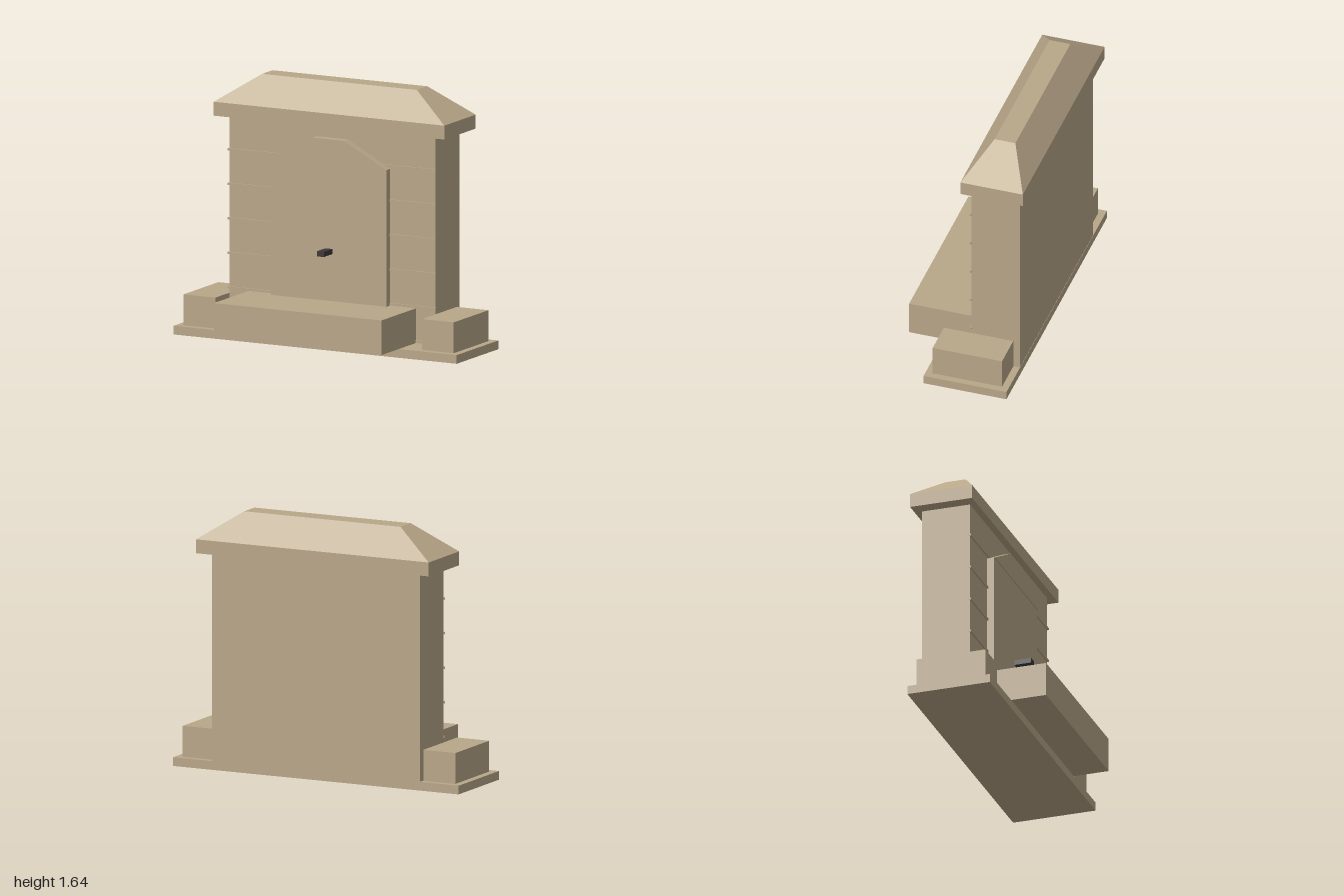
import * as THREE from 'three';

export function createModel() {
  const model = new THREE.Group();
  model.name = 'wallFountain';
  const stone = new THREE.MeshStandardMaterial({ color: 0xb8a688 });
  stone.name = 'sandstone';
  const iron = new THREE.MeshStandardMaterial({ color: 0x3c383a });
  iron.name = 'darkIron';

  function add(name, geometry, material = stone) {
    const mesh = new THREE.Mesh(geometry, material);
    mesh.name = name;
    model.add(mesh);
    return mesh;
  }

  // Box given by its limits on each axis
  function box(name, [x0, x1], [y0, y1], [z0, z1], material) {
    const g = new THREE.BoxGeometry(x1 - x0, y1 - y0, z1 - z0);
    g.translate((x0 + x1) / 2, (y0 + y1) / 2, (z0 + z1) / 2);
    return add(name, g, material);
  }

  // Plinth, wall and water trough
  box('plinth', [-1, 1], [0, 0.055], [-0.362, 0.18]);
  box('wall', [-0.728, 0.728], [0.055, 1.37], [-0.36, -0.045]);
  box('trough', [-0.592, 0.592], [0.056, 0.275], [-0.045, 0.408]);

  // Side blocks
  for (const s of [-1, 1]) {
    const xs = [s * 0.73, s * 0.955].sort((a, b) => a - b);
    box(s > 0 ? 'leftBlock' : 'rightBlock', xs, [0.055, 0.25], [-0.318, 0.135]);
  }

  // Thin courses across the wall front
  for (let i = 0; i < 6; i++) {
    const y = 0.067 + i * 0.2185;
    box('course' + (i + 1), [-0.735, 0.735], [y - 0.007, y + 0.007], [-0.046, -0.035]);
  }

  // Raised front panel and its gable
  box('frontPanel', [-0.408, 0.408], [0.275, 1.14], [-0.045, 0.002]);
  const gable = new THREE.Shape([
    new THREE.Vector2(-0.408, 1.14), new THREE.Vector2(0.408, 1.14),
    new THREE.Vector2(0.11, 1.298), new THREE.Vector2(-0.11, 1.298),
  ]);
  const gableGeometry = new THREE.ExtrudeGeometry(gable, { depth: 0.053, bevelEnabled: false });
  gableGeometry.translate(0, 0, -0.045);
  add('panelGable', gableGeometry);

  // Spout
  box('spout', [-0.025, 0.025], [0.573, 0.605], [0, 0.113], iron);

  // Cap slab and hipped coping, a box drawn in at the top
  box('capSlab', [-0.815, 0.815], [1.37, 1.458], [-0.408, 0]);
  const coping = new THREE.BoxGeometry(1.63, 0.178, 0.408);
  const p = coping.attributes.position;
  for (let i = 0; i < p.count; i++) {
    if (p.getY(i) > 0) {
      p.setX(i, Math.sign(p.getX(i)) * 0.547);
      p.setZ(i, Math.sign(p.getZ(i)) * 0.068);
    }
  }
  coping.computeVertexNormals();
  coping.translate(0, 1.547, -0.204);
  add('coping', coping);

  return model;
}
